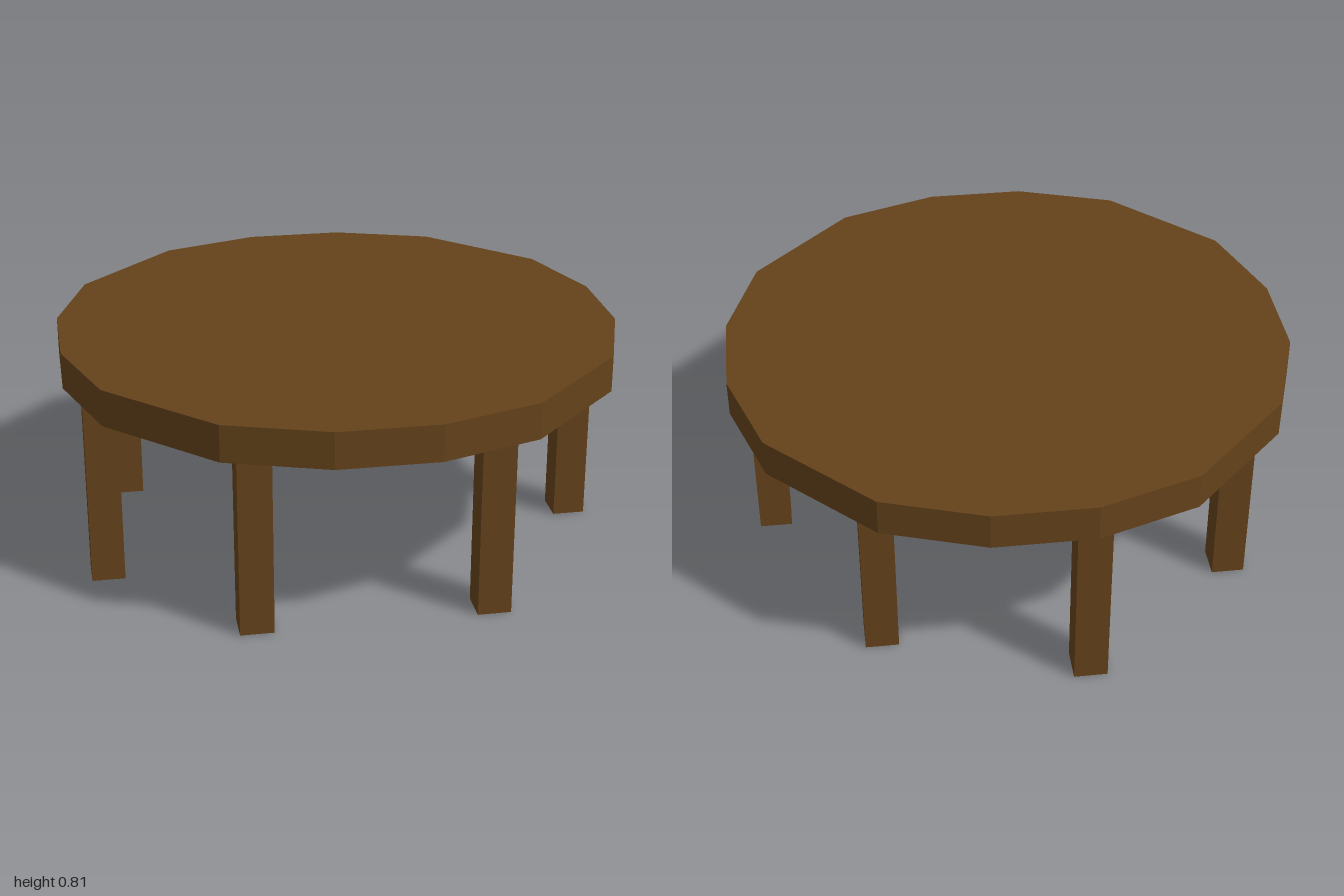
import * as THREE from 'three';

const CELL = 2 / 17; // layout unit: the top is 17 cells wide
const RIM_Y = 0.675;
const TOP_Y = 0.806;

// Hollow prism over an [x, z] outline (turning from +x towards +z), with an optional lid.
function hollowPrism(outline, y0, y1, lid) {
  const pos = [];
  const n = outline.length;
  outline.forEach(([ax, az], i) => {
    const [bx, bz] = outline[(i + 1) % n];
    pos.push(ax, y0, az, ax, y1, az, bx, y1, bz);
    pos.push(ax, y0, az, bx, y1, bz, bx, y0, bz);
    if (lid) pos.push(0, y1, 0, bx, y1, bz, ax, y1, az);
  });
  const geo = new THREE.BufferGeometry();
  geo.setAttribute('position', new THREE.Float32BufferAttribute(pos, 3));
  geo.computeVertexNormals();
  return geo;
}

// Repeats one quadrant's corners four times around the y axis.
function fourfold(corners) {
  const out = [];
  let pts = corners.map(([x, z]) => [x * CELL, z * CELL]);
  for (let q = 0; q < 4; q++) {
    out.push(...pts);
    pts = pts.map(([x, z]) => [-z, x]);
  }
  return out;
}

export function createModel() {
  const group = new THREE.Group();
  group.name = 'roundTable';
  const wood = new THREE.MeshStandardMaterial({
    color: 0x64421a, flatShading: true, side: THREE.DoubleSide,
  });

  // Sixteen-sided top: a lid with a thin skirt, open underneath
  const rim = fourfold([[8.5, 1.5], [7.5, 4.5], [4.5, 7.5], [1.5, 8.5]]);
  const top = new THREE.Mesh(hollowPrism(rim, RIM_Y, TOP_Y, true), wood);
  top.name = 'tableTop';
  group.add(top);

  // Seven square, open-ended legs, placed in cells
  const legGeo = hollowPrism(fourfold([[0.5, 0.5]]), 0, RIM_Y, false);
  const spots = [
    [7.5, 0.5], [3.5, 6.5], [-3.5, 6.5], [-7.5, 2.5],
    [-6.5, -3.5], [-1.5, -7.5], [4.5, -5.5],
  ];
  spots.forEach(([x, z], i) => {
    const leg = new THREE.Mesh(legGeo, wood);
    leg.name = `leg${i + 1}`;
    leg.position.set(x * CELL, 0, z * CELL);
    group.add(leg);
  });

  return group;
}
